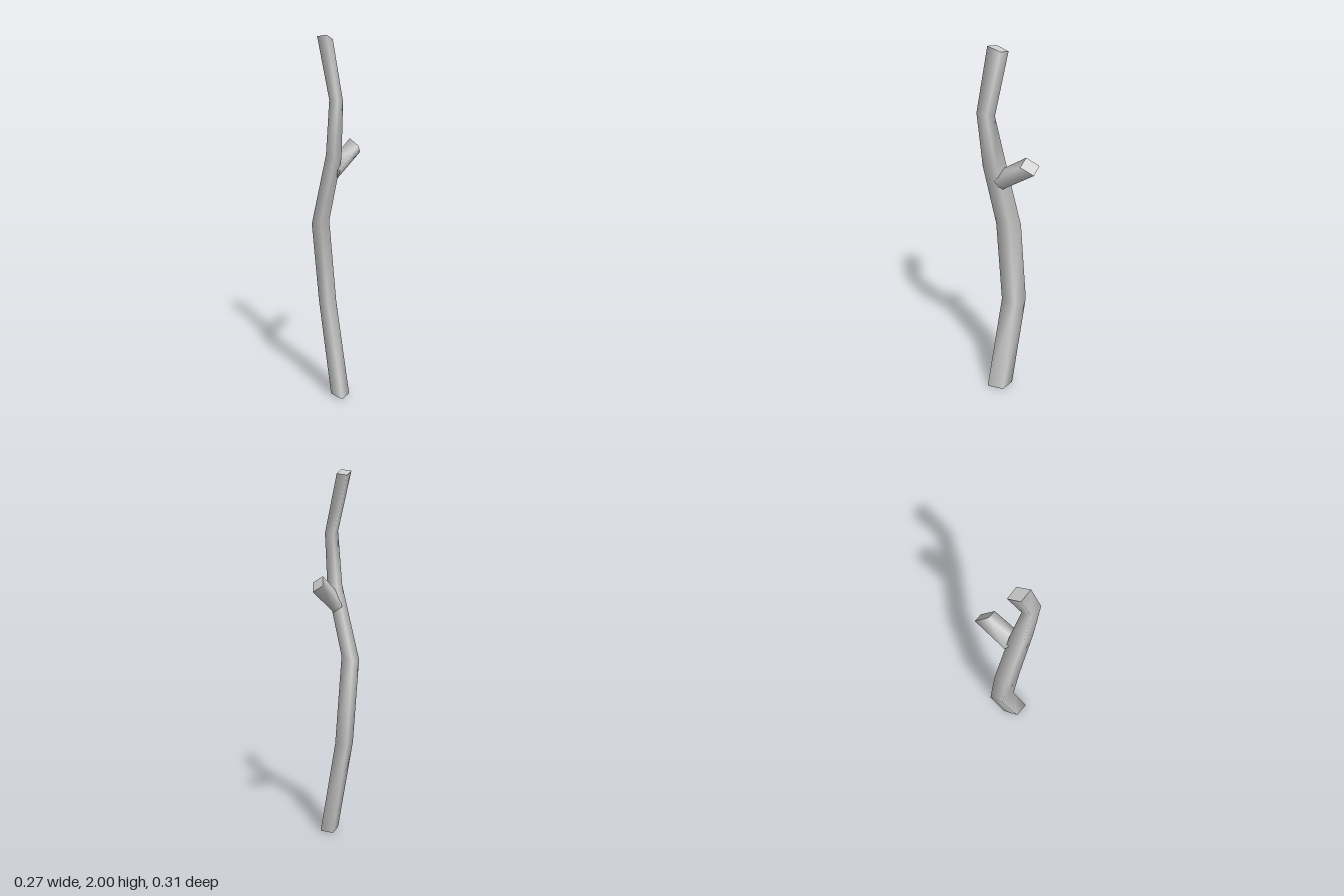
import * as THREE from 'three';

const material = new THREE.MeshStandardMaterial({ color: 0xcccccc });

// Skins a run of four-cornered rings (right, front, left, back) with smooth sides and flat ends.
function loft(name, rings) {
  const n = rings[0].length;
  const last = rings.length - 1;
  const corners = [...rings.flat(), ...rings[0], ...rings[last]];
  const index = [];
  for (let r = 0; r < last; r++) {
    for (let i = 0; i < n; i++) {
      const a = r * n + i;
      const b = r * n + (i + 1) % n;
      index.push(a, a + n, b, b, a + n, b + n);
    }
  }
  // End caps use their own corners so the cuts stay crisp.
  const start = rings.length * n;
  const end = start + n;
  for (let i = 1; i < n - 1; i++) {
    index.push(start, start + i, start + i + 1);
    index.push(end, end + i + 1, end + i);
  }
  const geometry = new THREE.BufferGeometry();
  geometry.setAttribute('position', new THREE.Float32BufferAttribute(corners.flat(), 3));
  geometry.setIndex(index);
  geometry.computeVertexNormals();
  const mesh = new THREE.Mesh(geometry, material);
  mesh.name = name;
  return mesh;
}

export function createModel() {
  const group = new THREE.Group();
  group.name = 'branch';

  // Crooked main stem, tapering upward
  group.add(loft('stem', [
    [[0.068, 0, 0.033], [0.024, 0.003, 0.117], [-0.035, 0.01, 0.05], [0.01, 0.005, -0.03]],
    [[0, 0.52, -0.045], [-0.05, 0.54, 0.02], [-0.097, 0.53, -0.055], [-0.05, 0.53, -0.118]],
    [[-0.04, 1, -0.02], [-0.088, 1, 0.045], [-0.135, 0.98, -0.03], [-0.084, 0.98, -0.093]],
    [[0.022, 1.36, 0.06], [-0.02, 1.37, 0.125], [-0.06, 1.38, 0.065], [-0.018, 1.37, 0]],
    [[0.027, 1.66, 0.108], [-0.005, 1.67, 0.156], [-0.044, 1.67, 0.1], [-0.01, 1.645, 0.06]],
    [[-0.022, 1.975, 0.03], [-0.057, 2, 0.09], [-0.103, 1.99, 0.035], [-0.067, 1.965, -0.02]],
  ]));

  // Short cut-off side twig, rooted inside the stem
  group.add(loft('twig', [
    [[-0.01, 1.23, 0.03], [0.015, 1.29, 0.07], [-0.04, 1.33, 0.04], [-0.04, 1.27, -0.03]],
    [[0.134, 1.36, -0.12], [0.12, 1.405, -0.05], [0.075, 1.44, -0.09], [0.088, 1.395, -0.158]],
  ]));

  return group;
}
